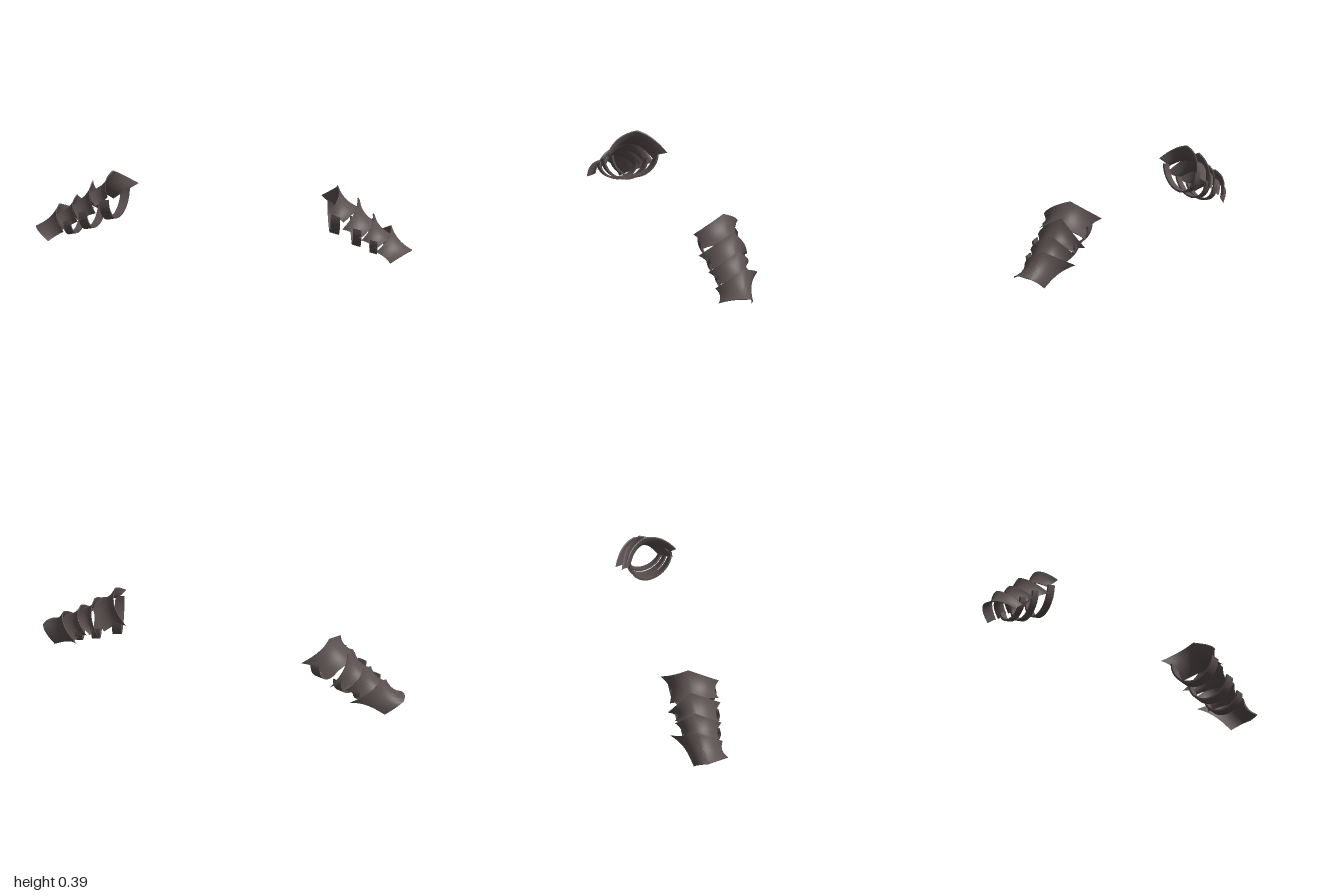
import * as THREE from 'three';
import { toCreasedNormals } from 'three/addons/utils/BufferGeometryUtils.js';

const V = (x, y, z) => new THREE.Vector3(x, y, z);
const ALONG = V(0.813, -0.582, 0); // down the forearm
const OUT = V(0.582, 0.813, 0);    // away from the forearm, through the ridge
const AXIS_OUT = 0.55, AXIS_Z = 0.02;

// Joins rows of points into a surface; side = -1 mirrors it across x
function skin(rows, side, closeRows, closeCols) {
  const m = rows.length, n = rows[0].length, pos = [], idx = [];
  rows.forEach(r => r.forEach(p => pos.push(p.x * side, p.y, p.z)));
  for (let i = 0; i < (closeRows ? m : m - 1); i++) {
    for (let j = 0; j < (closeCols ? n : n - 1); j++) {
      const i2 = (i + 1) % m, j2 = (j + 1) % n;
      const a = i * n + j, b = i * n + j2, c = i2 * n + j2, d = i2 * n + j;
      if (side > 0) idx.push(a, b, c, a, c, d);
      else idx.push(a, c, b, a, d, c);
    }
  }
  const g = new THREE.BufferGeometry();
  g.setAttribute('position', new THREE.Float32BufferAttribute(pos, 3));
  g.setIndex(idx);
  return toCreasedNormals(g, 0.7);
}

// Draws a point towards the forearm's centre line by a fraction
function pullIn(p, k) {
  const c = ALONG.clone().multiplyScalar(p.dot(ALONG)).addScaledVector(OUT, AXIS_OUT);
  c.z = AXIS_Z;
  return p.clone().lerp(c, k);
}

// Arched edge: back corner, middle, front corner
function edge(back, mid, front, bulge, sweep) {
  const half = (a, b, dz) => new THREE.QuadraticBezierCurve3(a,
    a.clone().lerp(b, 0.5).addScaledVector(OUT, bulge).addScaledVector(ALONG, sweep).add(V(0, 0, dz)), b);
  const b = half(back, mid, -0.022), f = half(mid, front, 0.022);
  return u => (u < 0.5 ? b.getPoint(u * 2) : f.getPoint(u * 2 - 1));
}

// Thin plate with a waisted profile between its upper and lower edges
function plateGeometry(upper, lower, side) {
  const top = edge(...upper, 0.045, 0.03), end = edge(...lower, 0.045, 0.01);
  const M = 10, N = 28, outer = [], inner = [];
  for (let i = 0; i <= M; i++) {
    const v = i / M, row = [], under = [];
    for (let j = 0; j <= N; j++) {
      const u = j / N;
      const p = pullIn(top(u).lerp(end(u), v), 0.17 * 4 * v * (1 - v));
      row.push(p);
      under.push(pullIn(p, 0.055 * Math.sqrt(Math.max(0, Math.sin(Math.PI * u)))));
    }
    outer.push(row);
    inner.unshift(under);
  }
  return skin([...outer, ...inner], side, true, false);
}

// Flat band hanging in a U beneath the plates
function strapGeometry({ back, front, depth, width }, side) {
  const w = V(0.97, -0.22, 0).multiplyScalar(width / 2), t = 0.005, rows = [];
  const zc = (back.z + front.z) / 2, zr = (front.z - back.z) / 2;
  for (let i = 0; i <= 24; i++) {
    const a = Math.PI * i / 24, s = Math.sin(a), c = -Math.cos(a), f = (1 + c) / 2;
    const y = back.y + (front.y - back.y) * f, x = back.x + (front.x - back.x) * f;
    const at = k => V(x, y - (depth + k) * s, zc + (zr + k) * c);
    rows.push([at(t).sub(w), at(t).add(w), at(-t).add(w), at(-t).sub(w)]);
  }
  return skin(rows, side, false, true);
}

// Each plate: upper edge, then lower edge (back corner, middle, front corner)
const PLATES = [
  ['cuffPlate',
    [V(0.485, 0.285, -0.145), V(0.598, 0.388, -0.02), V(0.59, 0.295, 0.145)],
    [V(0.615, 0.2, -0.12), V(0.709, 0.272, -0.02), V(0.66, 0.235, 0.132)]],
  ['upperPlate',
    [V(0.64, 0.162, -0.135), V(0.705, 0.324, -0.03), V(0.655, 0.2, 0.142)],
    [V(0.70, 0.147, -0.108), V(0.797, 0.198, -0.02), V(0.75, 0.15, 0.12)]],
  ['lowerPlate',
    [V(0.715, 0.145, -0.113), V(0.787, 0.246, -0.02), V(0.755, 0.143, 0.128)],
    [V(0.79, 0.08, -0.095), V(0.888, 0.136, -0.01), V(0.83, 0.095, 0.107)]],
  ['wristPlate',
    [V(0.757, 0.1, -0.145), V(0.883, 0.187, -0.02), V(0.83, 0.08, 0.12)],
    [V(0.915, 0.0, -0.05), V(1.0, 0.068, 0.01), V(0.91, 0.028, 0.135)]],
];

const STRAPS = [
  { back: V(0.55, 0.265, -0.108), front: V(0.615, 0.265, 0.118), depth: 0.125, width: 0.05 },
  { back: V(0.67, 0.19, -0.1), front: V(0.73, 0.195, 0.115), depth: 0.112, width: 0.045 },
  { back: V(0.77, 0.13, -0.083), front: V(0.815, 0.135, 0.105), depth: 0.086, width: 0.04 },
];

export function createModel() {
  const leather = new THREE.MeshStandardMaterial({ color: 0x5c5151, side: THREE.DoubleSide });
  leather.name = 'dark brown leather';
  const model = new THREE.Group();
  model.name = 'bracers';
  for (const side of [1, -1]) {
    const bracer = new THREE.Group();
    bracer.name = side > 0 ? 'leftBracer' : 'rightBracer';
    const add = (name, geometry) => {
      const mesh = new THREE.Mesh(geometry, leather);
      mesh.name = name;
      bracer.add(mesh);
    };
    PLATES.forEach(([name, upper, lower]) => add(name, plateGeometry(upper, lower, side)));
    STRAPS.forEach((s, i) => add(`strap${i + 1}`, strapGeometry(s, side)));
    model.add(bracer);
  }
  return model;
}
